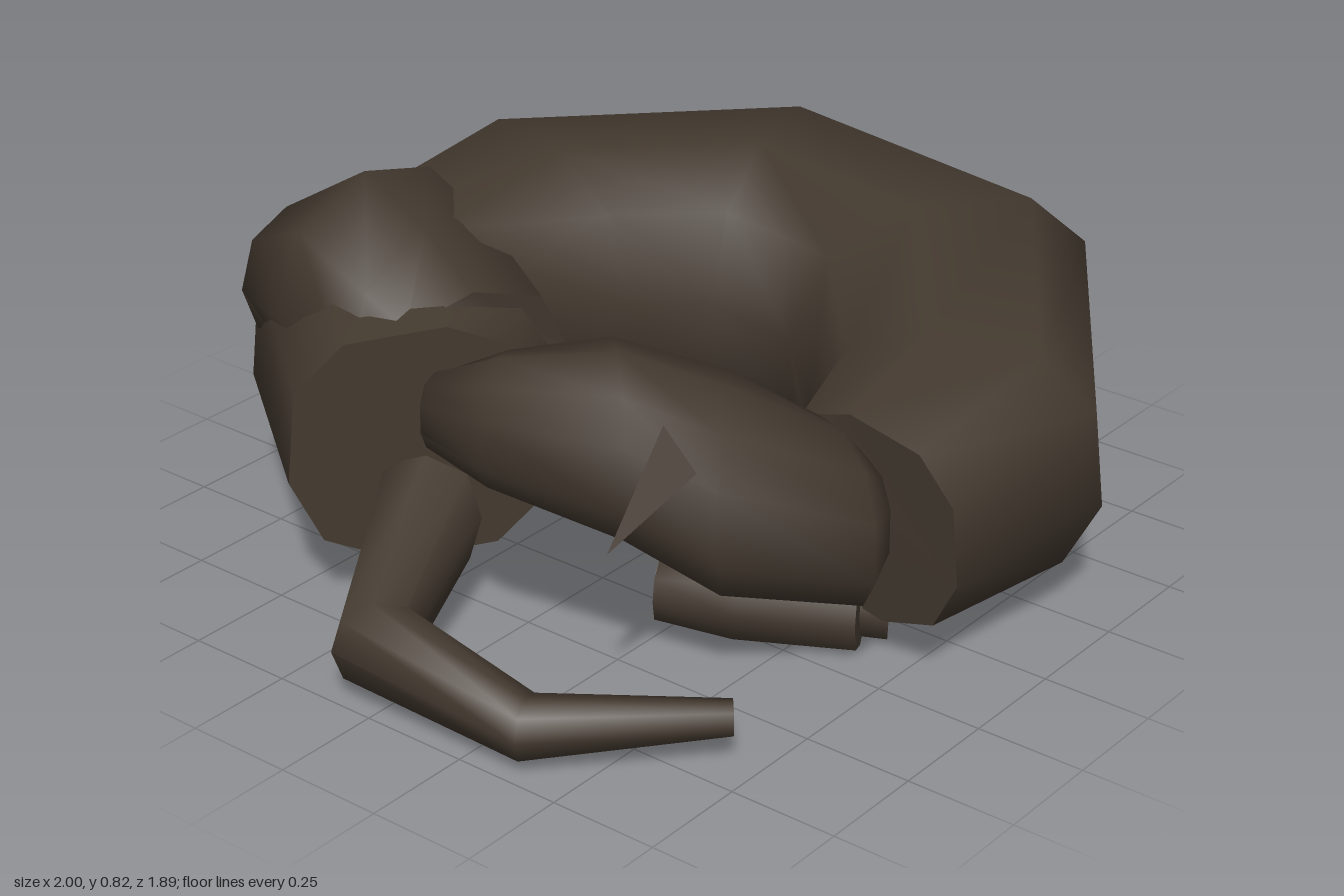
import * as THREE from 'three';
import { toCreasedNormals } from 'three/addons/utils/BufferGeometryUtils.js';
import { ConvexGeometry } from 'three/addons/geometries/ConvexGeometry.js';

const fur = new THREE.MeshStandardMaterial({ color: 0x43392f });
fur.name = 'darkBrownFur';

// Loft through upright rings. Each section: [rightX, rightZ, leftX, leftZ, yLow, yHigh],
// where left and right are taken along the direction of travel.
function loft(name, sections, sides = 10, power = 0.8, phase = 0) {
  const pos = [], idx = [];
  const bend = (v) => Math.sign(v) * Math.pow(Math.abs(v), power);
  for (const [rx, rz, lx, lz, lo, hi] of sections) {
    for (let j = 0; j < sides; j++) {
      const a = (j / sides) * Math.PI * 2 + phase;
      const c = bend(Math.cos(a)), s = bend(Math.sin(a));
      pos.push((rx + lx) / 2 + c * (lx - rx) / 2, (lo + hi) / 2 + s * (hi - lo) / 2, (rz + lz) / 2 + c * (lz - rz) / 2);
    }
  }
  const last = (sections.length - 1) * sides;
  for (let i = 0; i < last; i += sides) {
    for (let j = 0; j < sides; j++) {
      const k = (j + 1) % sides;
      idx.push(i + j, i + k, i + sides + k, i + j, i + sides + k, i + sides + j);
    }
  }
  // End caps
  for (let j = 1; j < sides - 1; j++) {
    idx.push(0, j + 1, j, last, last + j, last + j + 1);
  }
  const g = new THREE.BufferGeometry();
  g.setAttribute('position', new THREE.Float32BufferAttribute(pos, 3));
  g.setIndex(idx);
  const mesh = new THREE.Mesh(toCreasedNormals(g, 1.2), fur);
  mesh.name = name;
  return mesh;
}

function ear(name, points) {
  const mesh = new THREE.Mesh(new ConvexGeometry(points.map((p) => new THREE.Vector3(...p))), fur);
  mesh.name = name;
  return mesh;
}

export function createModel() {
  const model = new THREE.Group();
  model.name = 'curledSleepingAnimal';

  // Body curling from the rump round the back to the chest, rings rolled slightly outward
  model.add(loft('body', [
    [-0.35, -0.04, -0.79, -0.42, 0.11, 0.66],
    [-0.17, -0.17, -0.45, -0.87, 0.06, 0.73],
    [0.08, -0.18, 0.37, -0.95, 0.05, 0.76],
    [0.2, -0.05, 1.0, -0.33, 0.05, 0.76],
    [0.2, 0.16, 0.91, 0.52, 0.04, 0.73],
    [0.04, 0.34, 0.28, 0.95, 0.06, 0.63],
    [-0.1, 0.37, -0.18, 0.89, 0.09, 0.54],
  ], 10, 0.8, -0.17));

  // Haunch: a thigh ridge sloping from the back of the rump to its front
  model.add(loft('haunch', [
    [-0.52, -0.81, -0.2, -0.83, 0.42, 0.71],
    [-0.6, -0.62, 0.02, -0.66, 0.33, 0.82],
    [-0.66, -0.36, -0.03, -0.46, 0.32, 0.76],
    [-0.62, -0.29, -0.2, -0.14, 0.34, 0.69],
  ], 8, 0.9));

  // Neck and head, tapering to the muzzle
  model.add(loft('head', [
    [-0.08, 0.5, -0.18, 0.72, 0.2, 0.46],
    [-0.09, 0.44, -0.33, 0.79, 0.18, 0.54],
    [-0.2, 0.32, -0.58, 0.58, 0.23, 0.66],
    [-0.37, 0.13, -0.69, 0.43, 0.36, 0.74],
    [-0.5, -0.02, -0.75, 0.1, 0.42, 0.69],
    [-0.57, -0.14, -0.69, -0.12, 0.44, 0.61],
  ], 10, 0.8, -0.3));

  model.add(ear('rightEar', [[-0.77, 0.44, 0.45], [-0.63, 0.68, 0.48], [-0.6, 0.58, 0.54], [-0.62, 0.58, 0.46]]));
  model.add(ear('leftEar', [[-0.22, 0.48, 0.15], [-0.34, 0.53, 0.18], [-0.3, 0.46, 0.35], [-0.15, 0.4, 0.36]]));

  // Tail wrapping round the right side
  model.add(loft('tail', [
    [-0.63, -0.32, -0.53, -0.1, 0.1, 0.37],
    [-1.0, -0.1, -0.83, -0.01, 0.03, 0.21],
    [-0.99, 0.39, -0.86, 0.34, 0.02, 0.15],
    [-0.68, 0.7, -0.62, 0.65, 0.06, 0.13],
  ], 8));

  // Front legs tucked under the chest
  model.add(loft('leftFrontLeg', [
    [0.03, 0.56, -0.12, 0.68, 0.0, 0.16],
    [-0.1, 0.31, -0.25, 0.41, 0.0, 0.17],
    [-0.22, 0.16, -0.34, 0.22, 0.0, 0.14],
  ], 8));
  model.add(loft('rightFrontLeg', [
    [-0.06, 0.58, -0.2, 0.65, 0.0, 0.17],
    [-0.17, 0.34, -0.33, 0.42, 0.0, 0.18],
    [-0.25, 0.18, -0.37, 0.24, 0.01, 0.14],
  ], 8));

  return model;
}
